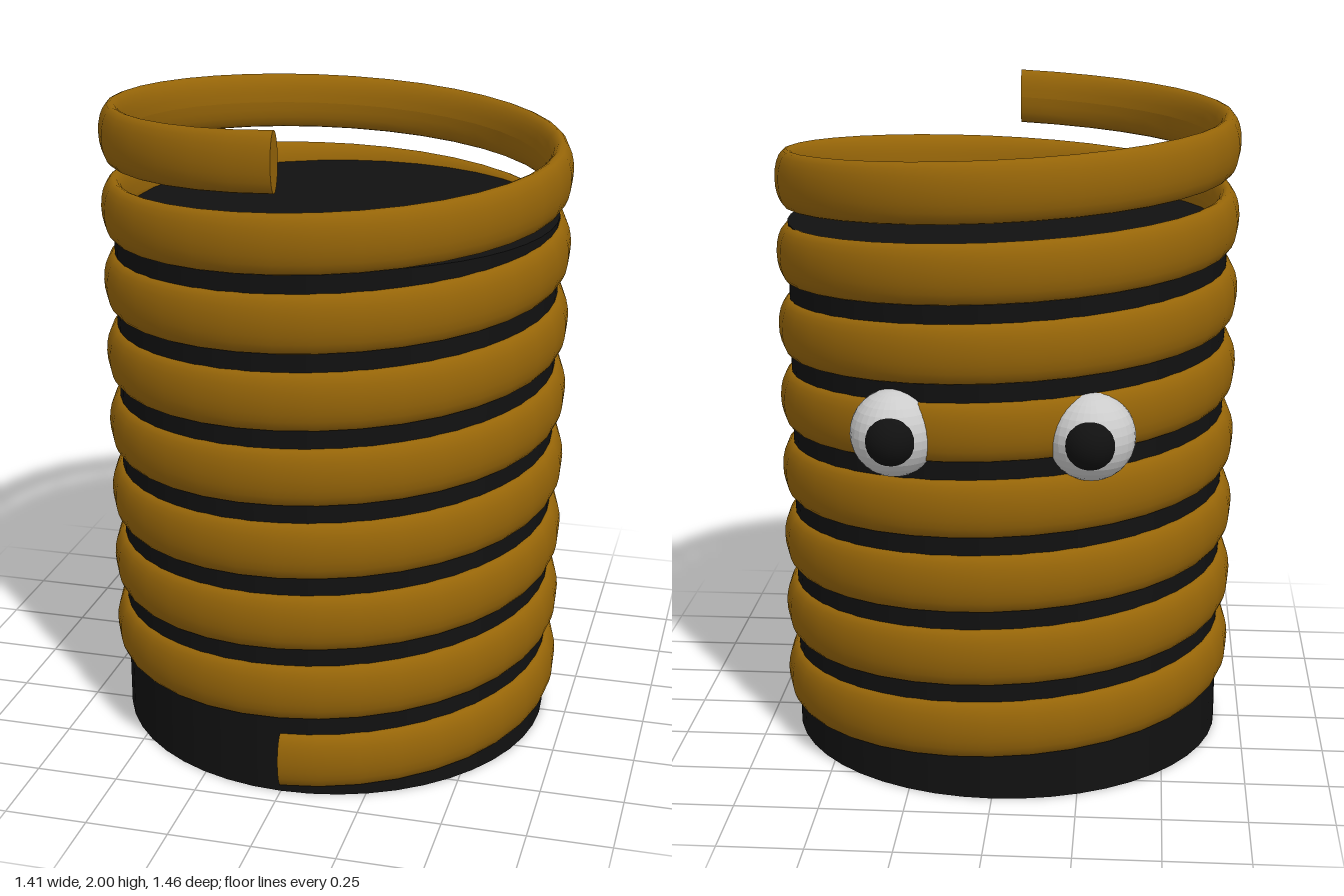
import * as THREE from 'three';

const TURNS = 8;
const COIL_RADIUS = 0.668;
const BODY_Z = 0.02;

const paint = (color, flatShading = false) =>
  new THREE.MeshStandardMaterial({ color, flatShading });

function addMesh(parent, name, geometry, material, x = 0, y = 0, z = 0) {
  const mesh = new THREE.Mesh(geometry, material);
  mesh.name = name;
  mesh.position.set(x, y, z);
  parent.add(mesh);
  return mesh;
}

// Capped bar with a flat oval section, wound upwards into a helix
function coilGeometry() {
  const geometry = new THREE.CylinderGeometry(1, 1, 1, 20, TURNS * 36, false, -Math.PI / 2);
  const pos = geometry.attributes.position;
  for (let i = 0; i < pos.count; i++) {
    const t = pos.getY(i) + 0.5;
    const angle = t * TURNS * Math.PI * 2;
    const radius = COIL_RADIUS + pos.getX(i) * 0.037;
    const y = 0.108 + t * 1.805 + pos.getZ(i) * 0.087;
    pos.setXYZ(i, radius * Math.sin(angle), y, radius * Math.cos(angle));
  }
  geometry.computeVertexNormals();
  return geometry;
}

export function createModel() {
  const model = new THREE.Group();
  model.name = 'coiledCreature';
  const black = paint(0x111111);
  const white = paint(0xcccccc, true);

  // Dark core inside the coil
  addMesh(model, 'core', new THREE.CylinderGeometry(0.67, 0.67, 1.62, 48), black, 0, 0.81, BODY_Z);

  // Spring wound around the core
  addMesh(model, 'coil', coilGeometry(), paint(0x966508), 0, 0, BODY_Z);

  // Pair of eyes looking out of the back
  for (const side of [-1, 1]) {
    const eye = new THREE.Group();
    eye.name = side > 0 ? 'leftEye' : 'rightEye';
    eye.position.set(side * 0.28, 1.1, -0.585);
    addMesh(eye, 'eyeball', new THREE.SphereGeometry(0.127, 32, 16), white);
    addMesh(eye, 'pupil', new THREE.SphereGeometry(0.08, 32, 16), black, 0, 0, -0.067);
    model.add(eye);
  }

  return model;
}
